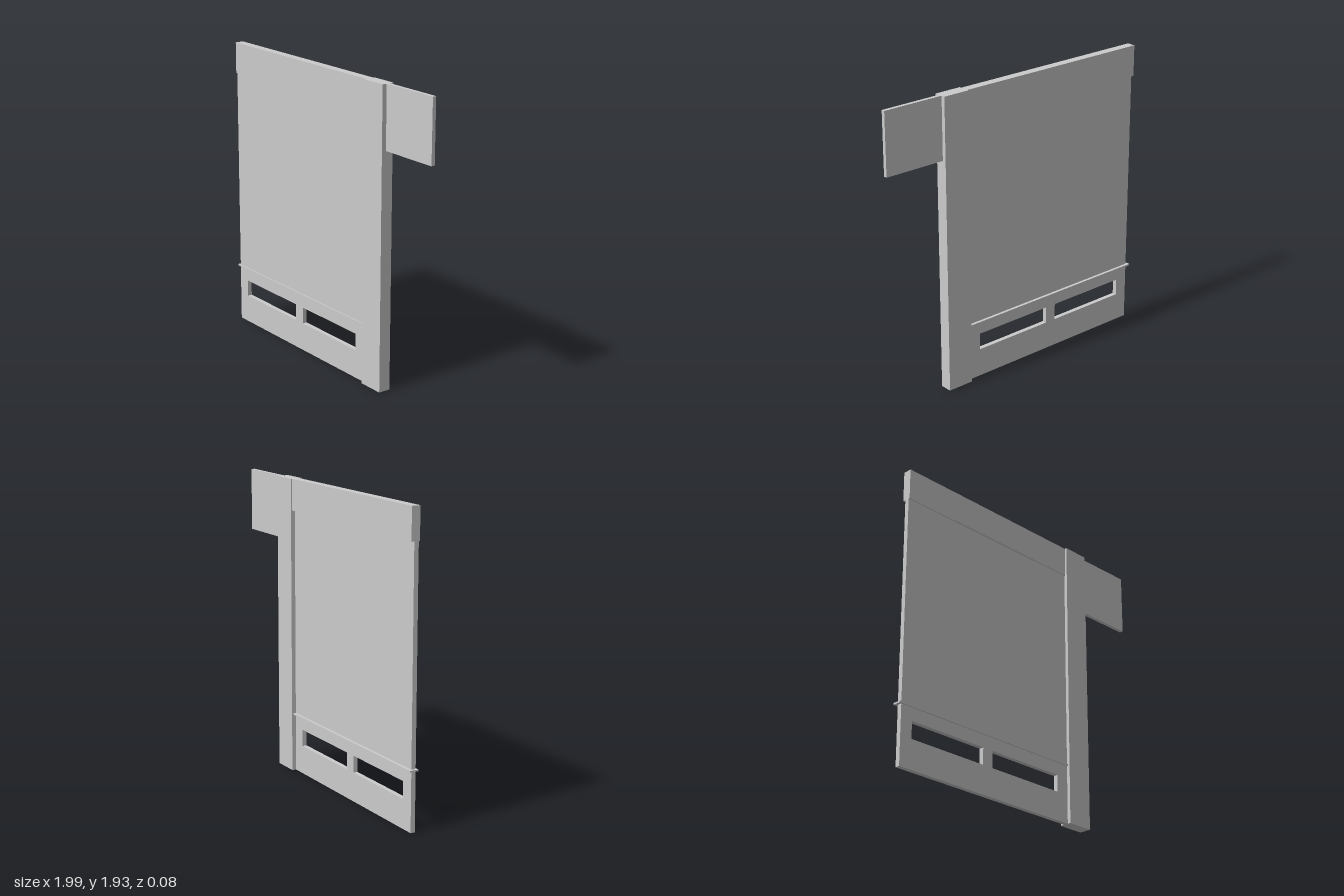
import * as THREE from 'three';

const material = new THREE.MeshStandardMaterial({ color: 0xcccccc, flatShading: true });

// Box given by its minimum and maximum on each axis
function block(name, [x0, x1], [y0, y1], [z0, z1]) {
  const mesh = new THREE.Mesh(new THREE.BoxGeometry(x1 - x0, y1 - y0, z1 - z0), material);
  mesh.position.set((x0 + x1) / 2, (y0 + y1) / 2, (z0 + z1) / 2);
  mesh.name = name;
  return mesh;
}

function trace(path, [x0, x1], [y0, y1]) {
  path.moveTo(x0, y0);
  path.lineTo(x1, y0);
  path.lineTo(x1, y1);
  path.lineTo(x0, y1);
  path.closePath();
  return path;
}

export function createModel() {
  const group = new THREE.Group();
  group.name = 'panelWithPost';
  const left = -0.98, postX = [0.405, 0.585], top = 1.935;
  const panelZ = [-0.012, 0.018];
  const trimZ = [-0.031, 0.026];

  // Lower panel with two open slots
  const shape = trace(new THREE.Shape(), [left, postX[0]], [0, 0.38]);
  for (const slotX of [[-0.895, -0.328], [-0.25, 0.315]]) {
    shape.holes.push(trace(new THREE.Path(), slotX, [0.187, 0.297]));
  }
  const lower = new THREE.Mesh(
    new THREE.ExtrudeGeometry(shape, { depth: panelZ[1] - panelZ[0], bevelEnabled: false }),
    material
  );
  lower.position.z = panelZ[0];
  lower.name = 'slottedPanel';

  group.add(
    lower,
    // Ledge, main panel and thicker head band
    block('ledge', [-0.997, postX[0]], [0.38, 0.391], trimZ),
    block('mainPanel', [left, postX[0]], [0.391, 1.732], panelZ),
    block('headBand', [left, postX[0]], [1.732, top], trimZ),
    // Post and the thin flag panel beside it
    block('post', postX, [0, top], [-0.04, 0.04]),
    block('sidePanel', [postX[1], 0.997], [1.532, top], [-0.014, 0.01])
  );
  return group;
}
